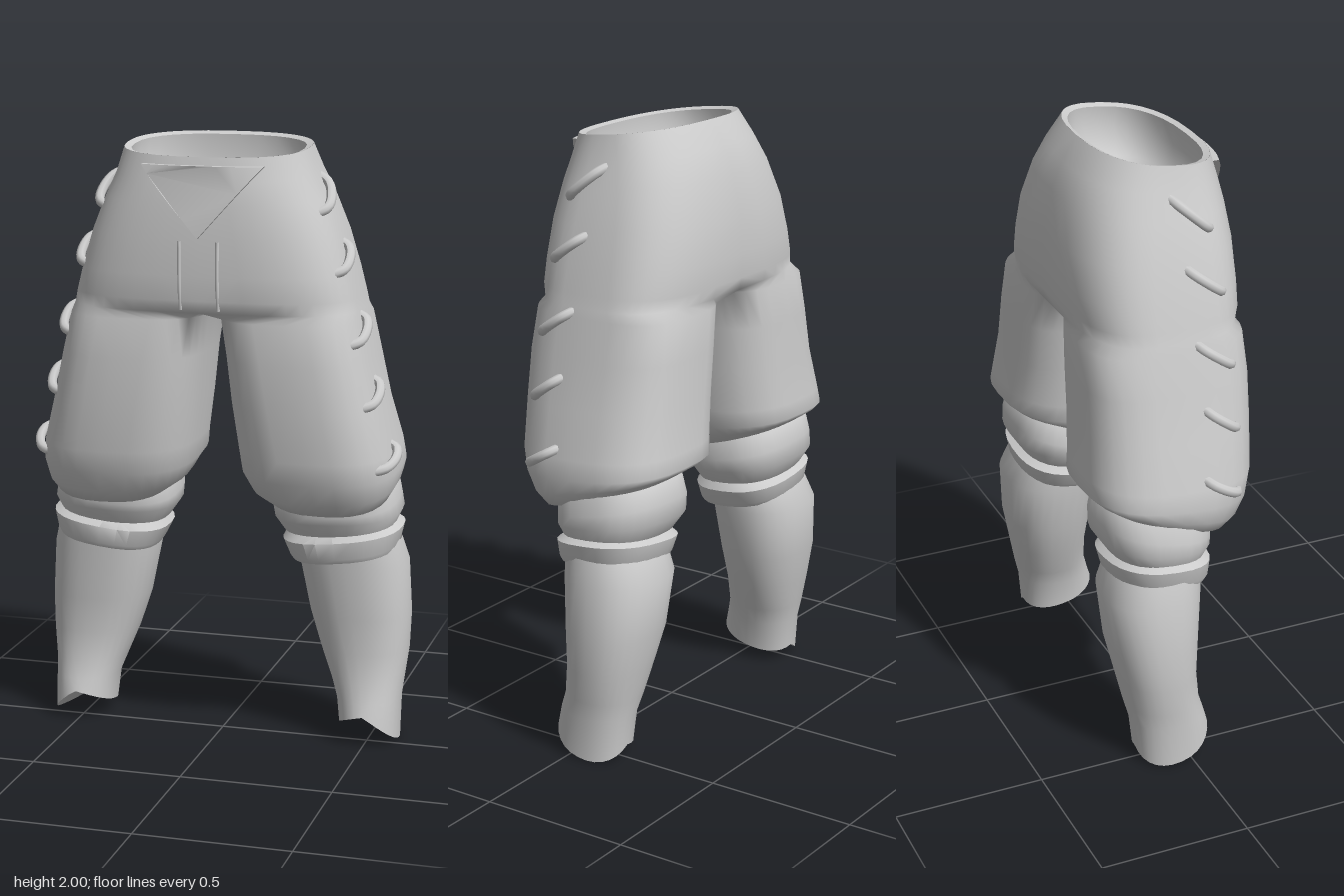
import * as THREE from 'three';
import { mergeGeometries, mergeVertices, toCreasedNormals } from 'three/addons/utils/BufferGeometryUtils.js';

const material = new THREE.MeshStandardMaterial({ color: 0xcccccc, side: THREE.DoubleSide });
const OUTER = 22, INNER = 8, CORNER = (50 * Math.PI) / 180;

// Cross-sections, top to bottom: y, inner x, outer x, back z, front z, squareness, tilt
const torsoRows = [
  [1.98, -0.305, 0.305, -0.15, 0.245, 0.8, 0.12],
  [1.90, -0.33, 0.33, -0.2, 0.265, 0.75, 0.1],
  [1.82, -0.365, 0.365, -0.235, 0.275, 0.7, 0.05],
  [1.70, -0.41, 0.41, -0.265, 0.285, 0.65, 0],
  [1.58, -0.445, 0.445, -0.272, 0.287, 0.62, 0],
  [1.50, -0.465, 0.465, -0.27, 0.283, 0.6, 0],
  [1.46, -0.475, 0.475, -0.262, 0.27, 0.6, 0],
];
const legRows = [
  [1.43, 0.02, 0.485, -0.266, 0.262, 0.65, 0],
  [1.30, 0.04, 0.515, -0.275, 0.272, 0.67, 0],
  [1.15, 0.055, 0.55, -0.28, 0.27, 0.7, 0],
  [1.00, 0.075, 0.592, -0.292, 0.26, 0.72, 0.05],
  [0.935, 0.082, 0.6, -0.298, 0.243, 0.72, 0.1],
  [0.885, 0.11, 0.592, -0.28, 0.21, 0.74, 0.22],
  [0.845, 0.17, 0.567, -0.22, 0.17, 0.78, 0.28],
  [0.85, 0.23, 0.53, -0.15, 0.09, 0.8, 0.28],
];
const kneeRows = [
  [0.90, 0.2, 0.55, -0.19, 0.1, 0.8, 0.2],
  [0.86, 0.175, 0.577, -0.235, 0.12, 0.8, 0.25],
  [0.80, 0.165, 0.587, -0.25, 0.115, 0.8, 0.2],
  [0.765, 0.17, 0.595, -0.25, 0.11, 0.8, 0.1],
  [0.715, 0.205, 0.57, -0.212, 0.085, 0.8, 0.08],
];
const cuffRows = [
  [0.722, 0.215, 0.565, -0.2, 0.08, 0.8, 0.08],
  [0.70, 0.2, 0.6, -0.235, 0.105, 0.8, 0.08],
  [0.645, 0.225, 0.587, -0.225, 0.1, 0.8, 0.1],
  [0.63, 0.235, 0.58, -0.215, 0.092, 0.8, 0.1],
  [0.635, 0.27, 0.55, -0.18, 0.06, 0.8, 0.1],
];
const shinRows = [
  [0.68, 0.25, 0.59, -0.22, 0.07, 0.85, 0],
  [0.60, 0.25, 0.612, -0.253, 0.066, 0.85, 0],
  [0.42, 0.287, 0.623, -0.24, 0.05, 0.85, 0],
  [0.30, 0.325, 0.62, -0.215, 0.042, 0.87, 0],
  [0.20, 0.365, 0.608, -0.195, 0.052, 0.9, 0],
  [0.14, 0.388, 0.602, -0.18, 0.07, 0.9, 0],
  [0.07, 0.4, 0.6, -0.17, 0.085, 0.9, 0],
];
const liningRows = [
  [1.98, -0.305, 0.305, -0.15, 0.245, 0.8, 0.12],
  [1.973, -0.283, 0.283, -0.132, 0.225, 0.8, 0.12],
  [1.90, -0.29, 0.29, -0.13, 0.225, 0.8, 0.1],
  [1.81, -0.25, 0.25, -0.1, 0.195, 0.8, 0.05],
  [1.75, -0.14, 0.14, -0.03, 0.13, 0.9, 0],
  [1.735, 0, 0, 0.05, 0.05, 1, 0],
];

const spow = (v, p) => Math.sign(v) * Math.abs(v) ** p;

// Point on a cross-section; angle 0 is the front, 90 degrees the outer side
function sectionPoint([y, xi, xo, zb, zf, p, tilt], a, slope = 0) {
  const x = (xi + xo) / 2 + ((xo - xi) / 2) * spow(Math.sin(a), p);
  const z = (zb + zf) / 2 + ((zf - zb) / 2) * spow(Math.cos(a), p);
  return new THREE.Vector3(x, y - tilt * z + slope * (x - 0.4), z);
}
const arc = (row, from, to, n, slope) =>
  Array.from({ length: n + 1 }, (_, i) => sectionPoint(row, from + ((to - from) * i) / n, slope));

// Skin over rows of points, optionally closed round and capped at the bottom
function loft(rows, closed, capCentre) {
  const n = rows[0].length, index = [], points = rows.flat();
  for (let i = 0; i < rows.length - 1; i++)
    for (let j = 0; j < (closed ? n : n - 1); j++) {
      const k = (j + 1) % n, a = i * n + j, b = i * n + k;
      index.push(a, a + n, b, b, a + n, b + n);
    }
  if (capCentre) {
    const base = (rows.length - 1) * n;
    for (let j = 0; j < n; j++) index.push(base + j, points.length, base + ((j + 1) % n));
    points.push(capCentre);
  }
  return new THREE.BufferGeometry().setFromPoints(points).setIndex(index);
}

function mirrored(geometry) {
  const g = geometry.clone().scale(-1, 1, 1), ix = g.index.array;
  for (let i = 0; i < ix.length; i += 3) [ix[i + 1], ix[i + 2]] = [ix[i + 2], ix[i + 1]];
  return g;
}
const ring = (row, slope) => arc(row, 0, 2 * Math.PI, 28, slope).slice(0, -1);

function smooth(geometry, angle) {
  const g = mergeVertices(geometry, 1e-4);
  g.computeVertexNormals();
  return angle ? toCreasedNormals(g, angle) : g;
}

// Interpolate a value between the rows above and below height y
function atHeight(rows, y, f) {
  let i = rows.findIndex((r) => r[0] <= y);
  i = Math.max(1, i < 0 ? rows.length - 1 : i);
  const [a, b] = [rows[i - 1], rows[i]];
  return THREE.MathUtils.lerp(f(a), f(b), (a[0] - y) / (a[0] - b[0]));
}
const conjugate = (t, p) => (1 - Math.min(1, Math.abs(t)) ** (2 / p)) ** (p / 2);
const sideX = (y, z) => atHeight([...torsoRows, ...legRows.slice(0, 5)], y, ([, xi, xo, zb, zf, p]) =>
  (xi + xo) / 2 + ((xo - xi) / 2) * conjugate((2 * z - zb - zf) / (zf - zb), p));
const frontZ = (x, y) => atHeight(torsoRows, y, ([, , xo, zb, zf, p]) =>
  (zb + zf) / 2 + ((zf - zb) / 2) * conjugate(x / xo, p));

export function createModel() {
  const model = new THREE.Group();
  const add = (name, geometry) => {
    const mesh = new THREE.Mesh(geometry, material);
    mesh.name = name;
    model.add(mesh);
  };
  const addPair = (name, geometry, angle) => {
    add('left' + name, smooth(geometry, angle));
    add('right' + name, smooth(mirrored(geometry), angle));
  };

  // Seat and thighs: two open half shells that split into closed legs at the crotch
  const half = torsoRows.map((r) => arc(r, 0, Math.PI, OUTER));
  const last = half[half.length - 1], crotch = [...last];
  for (let j = 1; j < INNER; j++) {
    const p = last[OUTER].clone().lerp(last[0], j / INNER);
    p.y -= 0.01;
    crotch.push(p);
  }
  const legs = legRows.map((r) => [
    ...arc(r, -CORNER, Math.PI + CORNER, OUTER),
    ...arc(r, Math.PI + CORNER, 2 * Math.PI - CORNER, INNER).slice(1, -1),
  ]);
  const halves = [loft(half, false), loft([crotch, ...legs], true)];
  add('breeches', smooth(mergeGeometries([...halves, ...halves.map(mirrored)])));

  // Waist rim and lining
  add('waistLining', smooth(loft(liningRows.map((r) => ring(r)), true), 0.9));

  // Gathered knees and turned cuffs
  addPair('KneeFold', loft(kneeRows.map((r) => ring(r, 0.05)), true));
  addPair('Cuff', loft(cuffRows.map((r) => ring(r, 0.12)), true), 0.9);

  // Shins, with an arched lower edge
  const shin = shinRows.map((r) => ring(r));
  shin[shin.length - 1].forEach((p, j, all) => {
    const a = (2 * Math.PI * j) / all.length, s = Math.sin(a);
    p.y = 0.07 + 0.03 * Math.cos(a) - (s > 0 ? 0.07 * s : -0.025 * s);
  });
  addPair('Shin', loft(shin, true, new THREE.Vector3(0.5, 0.075, -0.05)), 0.9);

  // Pointed front flap laid on the belly
  const corners = [[-0.2, 1.925], [0, 1.70], [0.2, 1.925]], outline = [];
  corners.forEach(([x, y], i) => {
    const [x2, y2] = corners[(i + 1) % 3];
    for (let t = 0; t < 1; t += 0.125) outline.push(new THREE.Vector2(x + (x2 - x) * t, y + (y2 - y) * t));
  });
  const flap = new THREE.ExtrudeGeometry(new THREE.Shape(outline), { depth: 0.024, bevelEnabled: false });
  const pos = flap.attributes.position;
  for (let i = 0; i < pos.count; i++)
    pos.setZ(i, pos.getZ(i) - 0.01 + frontZ(pos.getX(i), pos.getY(i)));
  add('frontFlap', toCreasedNormals(flap, 0.6));

  // Two seams below the flap
  const seam = [1.69, 1.62, 1.54, 1.47].map((y) => new THREE.Vector3(0.062, y, frontZ(0.062, y)));
  addPair('FrontSeam', new THREE.TubeGeometry(new THREE.CatmullRomCurve3(seam), 10, 0.006, 6));

  // Side laces: front z, front y, back z, back y
  [[0.14, 1.775, 0.02, 1.88], [0.16, 1.585, 0.04, 1.675], [0.17, 1.36, 0.05, 1.445],
    [0.17, 1.16, 0.06, 1.24], [0.16, 0.955, 0.04, 1.025]].forEach(([z0, y0, z1, y1], n) => {
    const path = [0, 0.15, 0.5, 0.85, 1].map((t, i) => {
      const y = y0 + (y1 - y0) * t, z = z0 + (z1 - z0) * t;
      return new THREE.Vector3(sideX(y, z) + [-0.015, 0.012, 0.02, 0.012, -0.015][i], y, z);
    });
    addPair('Lace' + (n + 1), new THREE.TubeGeometry(new THREE.CatmullRomCurve3(path), 14, 0.016, 8));
  });
  return model;
}
